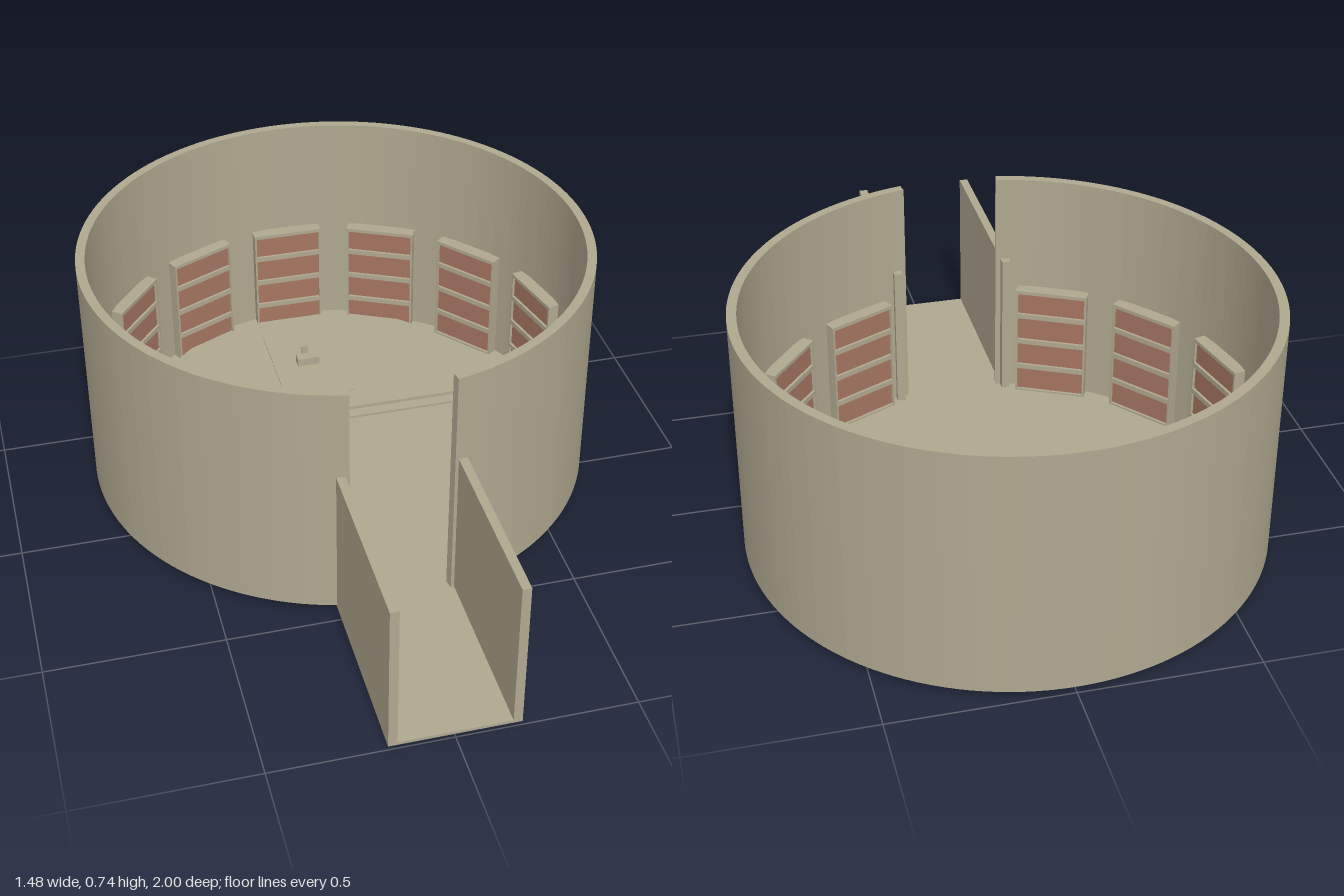
import * as THREE from 'three';

const CZ = -0.258; // centre of the round room
const stone = new THREE.MeshStandardMaterial({ color: 0xb0a890 });
stone.name = 'stone';
const books = new THREE.MeshStandardMaterial({ color: 0xa67561 });
books.name = 'bookRed';

function box(parent, name, mat, w, y0, y1, z0, z1, x = 0) {
  const m = new THREE.Mesh(new THREE.BoxGeometry(w, y1 - y0, z1 - z0), mat);
  m.position.set(x, (y0 + y1) / 2, (z0 + z1) / 2);
  m.name = name;
  parent.add(m);
}

// Plan shape (shape y = -z) raised from y0 to y1
function slab(parent, name, shape, y0, y1, curveSegments) {
  const g = new THREE.ExtrudeGeometry(shape, { depth: y1 - y0, bevelEnabled: false, curveSegments });
  g.rotateX(-Math.PI / 2);
  g.translate(0, y0, 0);
  const m = new THREE.Mesh(g, stone);
  m.name = name;
  parent.add(m);
}

// Bookcase at the back of the room, facing the centre
function bookcase() {
  const g = new THREE.Group();
  g.name = 'bookcase';
  const back = -0.712, front = -0.672;
  for (let i = 0; i < 5; i++) {
    const top = 0.027 + i * 0.09;
    if (i < 4) {
      box(g, 'shelfBoard', stone, 0.21, top - 0.016, top, back, front);
      box(g, 'bookRow', books, 0.206, top, Math.min(top + 0.074, 0.366), back, front - 0.008);
    } else {
      box(g, 'topBoard', stone, 0.22, 0.366, 0.377, back, front);
    }
  }
  for (const s of [-1, 1]) box(g, 'sideBoard', stone, 0.006, 0.02, 0.366, back, front, s * 0.106);
  return g;
}

export function createModel() {
  const model = new THREE.Group();
  model.name = 'roundLibrary';
  const down = -Math.PI / 2;

  // Floor of room and passage in one piece
  const R = 0.718, a = Math.asin(0.18 / R);
  const floor = new THREE.Shape();
  floor.moveTo(-0.18, -1);
  floor.lineTo(0.18, -1);
  floor.absarc(0, -CZ, R, down + a, down - a + Math.PI * 2, false);
  floor.lineTo(-0.18, -1);
  slab(model, 'floor', floor, 0.012, 0.021, 64);

  // Ring wall with the doorway gap
  const gap = Math.asin(0.145 / 0.742);
  const ring = new THREE.Shape();
  ring.absarc(0, -CZ, 0.742, down + gap, down - gap + Math.PI * 2, false);
  ring.absarc(0, -CZ, 0.715, down - gap + Math.PI * 2, down + gap, true);
  slab(model, 'ringWall', ring, 0.02, 0.736, 64);

  // Passage walls
  for (const s of [-1, 1]) box(model, 'passageWall', stone, 0.025, 0.016, 0.47, 0.415, 1, s * 0.1675);

  // Half-round platform with two steps
  const stage = new THREE.Shape();
  stage.moveTo(-0.538, 0.44);
  stage.lineTo(0.538, 0.44);
  stage.absarc(0, 0.435, 0.538, 0, Math.PI, false);
  slab(model, 'platform', stage, 0, 0.04, 32);
  box(model, 'upperStep', stone, 0.9, 0.018, 0.04, -0.44, -0.4);
  box(model, 'lowerStep', stone, 0.9, 0.018, 0.029, -0.4, -0.365);

  // Low dais with a small desk and seat
  box(model, 'dais', stone, 0.22, 0.038, 0.044, -0.845, -0.485);
  box(model, 'desk', stone, 0.07, 0.044, 0.07, -0.682, -0.65);
  box(model, 'seatBack', stone, 0.02, 0.044, 0.08, -0.71, -0.704);

  // Bookcases in 13 of 14 bays; the doorway takes the last
  for (let i = -6; i <= 6; i++) {
    const b = bookcase();
    b.position.z = CZ;
    b.rotation.y = i * Math.PI * 2 / 14;
    model.add(b);
  }
  return model;
}
